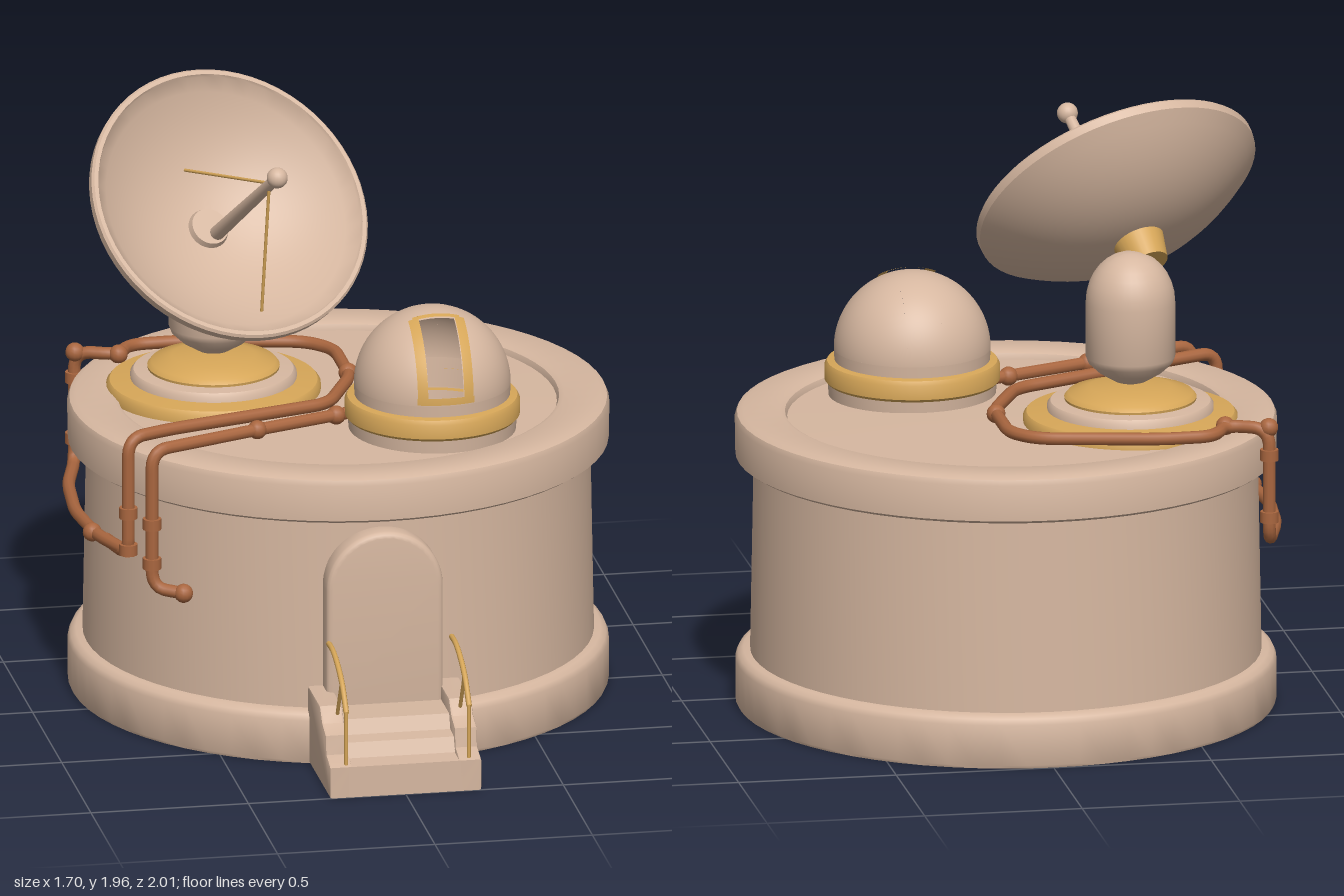
import * as THREE from 'three';
import { toCreasedNormals } from 'three/addons/utils/BufferGeometryUtils.js';

const V = (x, y, z) => new THREE.Vector3(x, y, z);
const P = (x, y) => new THREE.Vector2(x, y);

function material(name, color) {
  const m = new THREE.MeshStandardMaterial({ color, side: THREE.DoubleSide });
  m.name = name;
  return m;
}

export function createModel() {
  const model = new THREE.Group();
  model.name = 'observatory';
  const plaster = material('plaster', 0xd6b7a0);
  const brass = material('brass', 0xd6a658);
  const copper = material('copper', 0xa9663f);

  function add(name, geo, mat, pos = [0, 0, 0], parent = model) {
    const mesh = new THREE.Mesh(geo, mat);
    mesh.name = name;
    mesh.position.set(...pos);
    parent.add(mesh);
    return mesh;
  }
  const lathe = (pts, seg = 64) =>
    toCreasedNormals(new THREE.LatheGeometry(pts.map(p => P(...p)), seg), 0.7);

  // straight round bar between two points
  function rod(name, a, b, r0, r1, mat) {
    const d = b.clone().sub(a);
    const m = add(name, new THREE.CylinderGeometry(r1, r0, d.length(), 12), mat);
    m.position.copy(a).addScaledVector(d, 0.5);
    m.quaternion.setFromUnitVectors(V(0, 1, 0), d.normalize());
    return m;
  }

  // pipe with rounded corners
  function pipe(name, pts, r, bend, mat) {
    const path = new THREE.CurvePath();
    let from = pts[0];
    for (let i = 1; i < pts.length - 1; i++) {
      const toward = (q) => {
        const d = q.clone().sub(pts[i]);
        return pts[i].clone().addScaledVector(d.clone().normalize(), Math.min(bend, d.length() * 0.45));
      };
      const a = toward(pts[i - 1]), b = toward(pts[i + 1]);
      path.add(new THREE.LineCurve3(from, a));
      path.add(new THREE.QuadraticBezierCurve3(a, pts[i], b));
      from = b;
    }
    path.add(new THREE.LineCurve3(from, pts[pts.length - 1]));
    return add(name, new THREE.TubeGeometry(path, pts.length * 16, r, 10), mat);
  }

  // round-topped door outline
  function arch(half, bottom, top, Type = THREE.Shape) {
    const s = new Type();
    s.moveTo(-half, bottom);
    s.lineTo(half, bottom);
    s.lineTo(half, top - half);
    s.absarc(0, top - half, half, 0, Math.PI, false);
    s.closePath();
    return s;
  }
  function archPart(name, outer, inner, z0, z1, mat, bevel = 0) {
    const s = arch(...outer);
    if (inner) s.holes.push(arch(...inner, THREE.Path));
    const geo = new THREE.ExtrudeGeometry(s, {
      depth: z1 - z0 - 2 * bevel, curveSegments: 20, bevelEnabled: bevel > 0,
      bevelSize: bevel, bevelThickness: bevel, bevelOffset: -bevel, bevelSegments: 3,
    });
    return add(name, toCreasedNormals(geo, 0.7), mat, [-0.008, 0, z0 + bevel]);
  }

  // hollow drum with base ring, wall, rounded parapet and sunken roof
  const CZ = -0.158;
  add('baseRing', lathe([[0.78, 0.17], [0.79, 0], [0.84, 0], [0.845, 0.01], [0.845, 0.14],
    [0.837, 0.158], [0.82, 0.168], [0.78, 0.17]]), plaster, [0, 0, CZ]);
  add('wall', lathe([[0.775, 0.1], [0.8, 0.1], [0.787, 0.82], [0.765, 0.82], [0.775, 0.1]]), plaster, [0, 0, CZ]);
  add('parapet', lathe([[0.68, 0.79], [0.83, 0.79], [0.845, 0.8], [0.847, 0.915], [0.84, 0.932], [0.82, 0.94],
    [0.705, 0.94], [0.69, 0.933], [0.683, 0.915], [0.68, 0.79]]), plaster, [0, 0, CZ]);
  add('roof', lathe([[0.69, 0.915], [0.3, 0.922], [0, 0.925]]), plaster, [0, 0, CZ]);

  // doorway
  archPart('doorSurround', [0.185, 0.16, 0.76], [0.118, 0.18, 0.64], 0.6, 0.695, plaster, 0.018);
  archPart('outerDoorFrame', [0.122, 0.2, 0.642], [0.1, 0.22, 0.615], 0.62, 0.685, brass, 0.006);
  archPart('doorBack', [0.11, 0.2, 0.62], null, 0.63, 0.652, brass);
  archPart('innerDoorFrame', [0.09, 0.23, 0.595], [0.072, 0.265, 0.565], 0.645, 0.672, brass, 0.004);
  archPart('doorPanel', [0.075, 0.26, 0.57], null, 0.645, 0.658, copper);
  archPart('doorTunnel', [0.125, 0.19, 0.64], [0.11, 0.21, 0.62], 0.46, 0.63, copper);
  add('doorMedallion', new THREE.CylinderGeometry(0.043, 0.043, 0.008, 28).rotateX(Math.PI / 2),
    plaster, [-0.008, 0.45, 0.661]);
  add('medallionRing', new THREE.TorusGeometry(0.045, 0.008, 8, 28), brass, [-0.008, 0.45, 0.663]);
  add('doorBar', new THREE.BoxGeometry(0.013, 0.09, 0.009), brass, [-0.008, 0.37, 0.662]);
  add('doorKnob', new THREE.SphereGeometry(0.014, 14, 10), brass, [0.038, 0.42, 0.668]);

  // steps, stepped side walls and handrails: side profiles as [z, y]
  function sideExtrude(name, profile, x0, x1, bevel) {
    const geo = new THREE.ExtrudeGeometry(new THREE.Shape(profile.map(p => P(-p[0], p[1]))), {
      depth: x1 - x0 - 2 * bevel, bevelEnabled: bevel > 0, bevelSize: bevel,
      bevelThickness: bevel, bevelOffset: -bevel, bevelSegments: 2,
    });
    geo.rotateY(Math.PI / 2);
    return add(name, toCreasedNormals(geo, 0.6), plaster, [x0 + bevel, 0, 0]);
  }
  sideExtrude('steps', [[0.64, 0], [1, 0], [1, 0.1], [0.93, 0.105], [0.91, 0.15], [0.85, 0.155],
    [0.83, 0.2], [0.64, 0.2]], -0.18, 0.18, 0);
  for (const s of [-1, 1]) {
    const cx = s * 0.205;
    sideExtrude('stepSideWall', [[0.62, 0], [1, 0], [1, 0.1], [0.97, 0.11], [0.93, 0.12], [0.92, 0.18],
      [0.86, 0.2], [0.82, 0.245], [0.62, 0.245]], cx - 0.036, cx + 0.036, 0.007);
    const x = s * 0.195 + 0.008;
    add('handrail', new THREE.TubeGeometry(new THREE.CatmullRomCurve3([
      V(x, 0.405, 0.69), V(x, 0.405, 0.76), V(x, 0.385, 0.84), V(x, 0.345, 0.92), V(x, 0.275, 0.99),
    ]), 24, 0.009, 8), brass);
    rod('railStrut', V(x, 0.35, 0.91), V(x, 0.21, 0.83), 0.006, 0.006, brass);
    rod('railPost', V(x, 0.28, 0.985), V(x, 0.1, 0.985), 0.006, 0.006, brass);
  }

  // small observatory dome with an open slot
  const dome = new THREE.Group();
  dome.name = 'smallDome';
  dome.position.set(0.24, 1.065, 0.158);
  model.add(dome);
  // sphere patch: p runs from the zenith to the front, t from left to right
  const patch = (r, p0, p1, t0, t1) => new THREE.SphereGeometry(r, 28, 20, p0, p1 - p0, t0, t1 - t0).rotateZ(-Math.PI / 2);
  const H = Math.PI / 2, R = 0.245, slot = 0.23, top = 0.3, low = 1.46;
  add('domeLeft', patch(R, -H, H, 0, H - slot), plaster, undefined, dome);
  add('domeRight', patch(R, -H, H, H + slot, Math.PI), plaster, undefined, dome);
  add('domeBack', patch(R, -H, top, H - slot, H + slot), plaster, undefined, dome);
  add('domeSill', patch(R, low, H, H - slot, H + slot), plaster, undefined, dome);
  add('slotFrameTop', patch(R + 0.006, top - 0.07, top, H - 0.3, H + 0.3), brass, undefined, dome);
  add('slotFrameSill', patch(R + 0.006, low, low + 0.09, H - 0.37, H + 0.37), brass, undefined, dome);
  for (const s of [-1, 1]) {
    const a = H + s * slot, b = H + s * 0.36;
    add('slotFrameSide', patch(R + 0.006, top - 0.03, low + 0.05, Math.min(a, b), Math.max(a, b)), brass, undefined, dome);
  }
  add('domeFoot', lathe([[0.26, 0.9], [0.265, 0.962], [0.24, 0.97], [0.245, 1.065]]), plaster, [0.24, 0, 0.158]);
  add('domeBand', lathe([[0.24, 0.958], [0.266, 0.958], [0.274, 0.967], [0.274, 1.012], [0.266, 1.026],
    [0.24, 1.03]]), brass, [0.24, 0, 0.158]);

  // dish pedestal
  const PX = -0.367, PZ = -0.315;
  add('pedestalBrassStep', lathe([[0.335, 0.91], [0.335, 0.945], [0.325, 0.957], [0.25, 0.965]]), brass, [PX, 0, PZ]);
  add('pedestalPlasterStep', lathe([[0.26, 0.94], [0.26, 0.98], [0.25, 0.992], [0.19, 0.998]]), plaster, [PX, 0, PZ]);
  add('pedestalBrassCap', lathe([[0.205, 0.99], [0.207, 1.004], [0.195, 1.018], [0.13, 1.036], [0, 1.045]]), brass, [PX, 0, PZ]);
  const post = [[0, 1.04], [0.05, 1.055], [0.1, 1.085], [0.132, 1.115], [0.14, 1.135], [0.14, 1.31]];
  for (let i = 1; i <= 8; i++) post.push([0.14 * Math.cos(i * H / 8), 1.31 + 0.16 * Math.sin(i * H / 8)]);
  add('dishPost', lathe(post, 40), plaster, [PX, 0, PZ]);

  // tilted dish
  const axis = V(0.23, 0.66, 0.71).normalize();
  const dish = new THREE.Group();
  dish.name = 'dish';
  dish.position.set(-0.36, 1.62, -0.06);
  dish.quaternion.setFromUnitVectors(V(0, 1, 0), axis);
  model.add(dish);
  const bowl = [];
  for (let i = 0; i <= 12; i++) bowl.push([0.46 * i / 12, -0.225 + 0.19 * (i / 12) ** 2.2]);
  bowl.push([0.462, -0.008], [0.455, 0], [0.442, 0]);
  for (let i = 12; i >= 0; i--) bowl.push([0.437 * i / 12, -0.2 + 0.19 * (i / 12) ** 2.1]);
  add('dishBowl', lathe(bowl), plaster, undefined, dish);
  add('dishJoint', new THREE.CylinderGeometry(0.085, 0.065, 0.1, 28), brass, [0, -0.255, 0], dish);
  add('feedPlate', new THREE.CylinderGeometry(0.06, 0.066, 0.02, 28), plaster, [0, -0.187, 0], dish);

  // feed mast and stays
  const tip = V(-0.262, 1.785, 0.21);
  rod('feedMast', V(-0.385, 1.475, -0.185), tip, 0.024, 0.018, plaster);
  add('feedBall', new THREE.SphereGeometry(0.033, 20, 14), plaster, tip.toArray());
  rod('feedStay', V(-0.27, 1.755, 0.175), V(-0.48, 1.69, -0.195), 0.005, 0.005, brass);
  rod('feedStay', V(-0.28, 1.73, 0.165), V(-0.29, 1.31, 0.095), 0.005, 0.005, brass);

  // copper pipes over the parapet and round the pedestal
  const r = 0.02;
  pipe('frontPipe', [V(0.02, 0.965, 0.1), V(-0.33, 0.968, 0.235), V(-0.692, 0.97, 0.385), V(-0.692, 0.52, 0.385),
    V(-0.6, 0.51, 0.43)], r, 0.06, copper);
  pipe('loopPipe', [V(-0.79, 0.6, 0.12), V(-0.745, 0.59, 0.265), V(-0.745, 0.975, 0.265), V(-0.6, 0.975, 0.2),
    V(-0.06, 0.96, 0), V(0.055, 0.96, -0.25), V(0.055, 0.96, -0.52), V(-0.02, 0.96, -0.61), V(-0.4, 0.96, -0.685),
    V(-0.57, 0.96, -0.68), V(-0.62, 0.965, -0.575), V(-0.75, 0.965, -0.635), V(-0.75, 0.6, -0.635),
    V(-0.81, 0.6, -0.42), V(-0.835, 0.6, -0.16), V(-0.81, 0.6, 0.08), V(-0.745, 0.6, 0.26)], r, 0.06, copper);

  // pipe collars
  const collars = [[-0.692, 0.73, 0.385], [-0.692, 0.6, 0.385], [-0.745, 0.73, 0.265], [-0.745, 0.61, 0.265],
    [-0.75, 0.68, -0.635], [-0.75, 0.88, -0.635]];
  for (const c of collars) add('pipeCollar', new THREE.CylinderGeometry(0.029, 0.029, 0.035, 14), copper, c);
  for (const c of [[-0.6, 0.51, 0.43], [-0.33, 0.968, 0.235], [-0.06, 0.965, 0.13], [-0.82, 0.6, 0.05],
    [-0.62, 0.965, -0.58], [-0.75, 0.965, -0.625], [0.055, 0.96, -0.29]])
    add('pipeJoint', new THREE.SphereGeometry(0.03, 14, 10), copper, c);

  return model;
}
